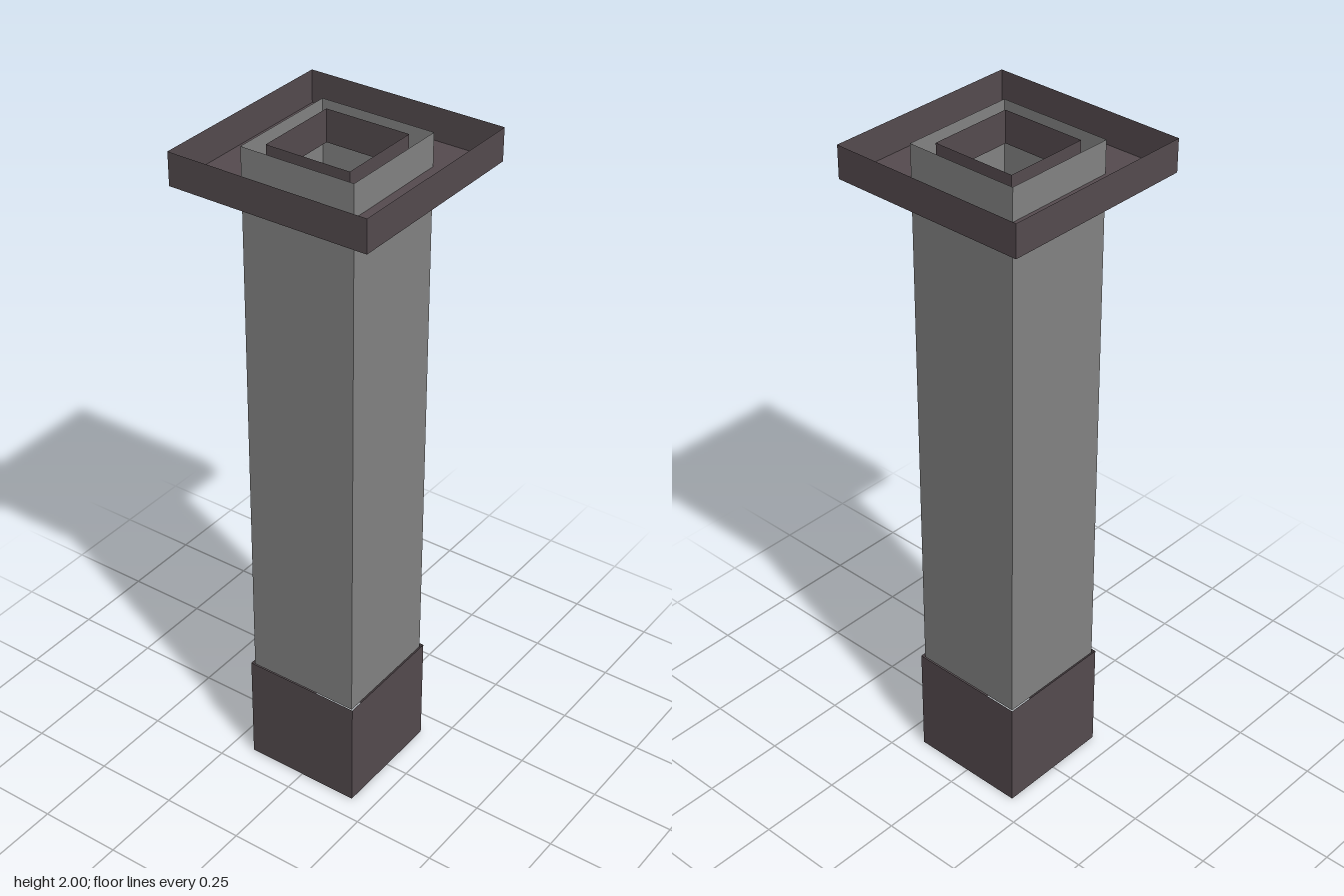
import * as THREE from 'three';

export function createModel() {
  const group = new THREE.Group();
  const side = THREE.DoubleSide;
  const stone = new THREE.MeshStandardMaterial({ color: 0x848484, side, flatShading: true });
  stone.name = 'grey stone';
  const trim = new THREE.MeshStandardMaterial({ color: 0x554b4f, side, flatShading: true });
  trim.name = 'dark trim';

  function add(name, geometry, material) {
    const mesh = new THREE.Mesh(geometry, material);
    mesh.name = name;
    group.add(mesh);
    return mesh;
  }

  // Open square tube of thin walls: half width, bottom and top height
  function squareTube(name, half, bottom, top, material) {
    const r = half * Math.SQRT2;
    const geometry = new THREE.CylinderGeometry(r, r, top - bottom, 4, 1, true, Math.PI / 4).toNonIndexed();
    geometry.computeVertexNormals();
    add(name, geometry, material).position.y = (bottom + top) / 2;
  }

  function square(half, Type) {
    return new Type([[-half, -half], [half, -half], [half, half], [-half, half]]
      .map(([x, y]) => new THREE.Vector2(x, y)));
  }

  const capFloor = 1.905;

  // Base and shaft, hollow all the way through
  squareTube('base', 0.181, 0, 0.34, trim);
  squareTube('shaft', 0.173, 0.335, 2, stone);

  // Cap: an open tray with an inner collar around the square opening
  squareTube('capRim', 0.301, capFloor, 2, trim);
  squareTube('capCollar', 0.128, capFloor, 2, trim);
  const floor = square(0.301, THREE.Shape);
  floor.holes.push(square(0.128, THREE.Path));
  const floorGeometry = new THREE.ShapeGeometry(floor).rotateX(-Math.PI / 2);
  add('capFloor', floorGeometry, trim).position.y = capFloor;

  return group;
}
